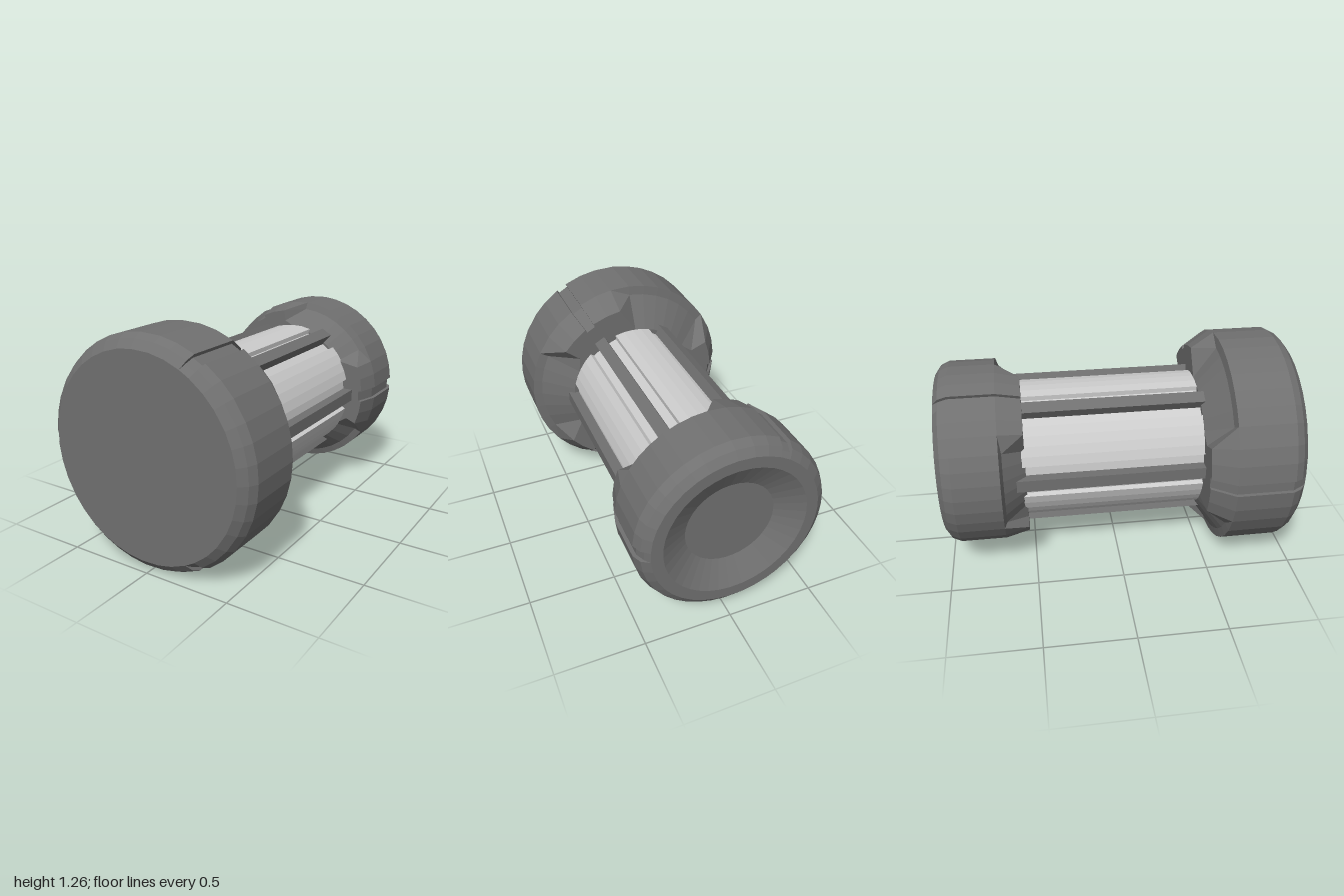
import * as THREE from 'three';

const CENTER_Y = 0.633;
const RAD = Math.PI / 180;

const darkMat = new THREE.MeshStandardMaterial({ color: 0x707070, flatShading: true });
const lightMat = new THREE.MeshStandardMaterial({ color: 0xcccccc, flatShading: true });

const lerp = THREE.MathUtils.lerp;

// Row of a cap profile: [r, z, rNotch, zNotch, grooveDepth]
const row = (r, z, groove = 0, rNotch = r, zNotch = z) => ({ r, z, groove, rNotch, zNotch });

// Ring of profiles with three notches (first at startDeg) and three narrow grooves between them
function capGeometry(rows, radius, startDeg) {
  const half = 0.035 / radius / RAD;
  const steps = [0, 9, 18, 27, 38, 47, 60 - half - 0.05, 60 - half];
  const side = steps.map((a) => ({
    a,
    notch: THREE.MathUtils.clamp((38 - a) / 11, 0, 1),
    groove: a === 60 - half ? 1 : 0,
  }));
  const mirrored = side.slice(1).reverse().map((s) => ({ ...s, a: -s.a }));
  const third = [...mirrored, ...side];
  const ring = [];
  for (let k = 0; k < 3; k++) {
    for (const s of third) ring.push({ ...s, a: (s.a + startDeg + k * 120) * RAD });
  }

  const positions = [];
  for (const p of rows) {
    for (const s of ring) {
      const r = lerp(p.r, p.rNotch, s.notch) - p.groove * s.groove;
      const z = lerp(p.z, p.zNotch, s.notch);
      positions.push(r * Math.cos(s.a), r * Math.sin(s.a), z);
    }
  }

  const n = ring.length;
  const flip = rows[0].z < 0;
  const index = [];
  const tri = (a, b, c) => (flip ? index.push(a, c, b) : index.push(a, b, c));
  for (let i = 0; i < rows.length - 1; i++) {
    for (let j = 0; j < n; j++) {
      const k = (j + 1) % n;
      const a = i * n + j, b = a + n, c = (i + 1) * n + k, d = i * n + k;
      tri(a, b, c);
      if (rows[i].r > 0) tri(a, c, d);
    }
  }
  const geo = new THREE.BufferGeometry();
  geo.setAttribute('position', new THREE.Float32BufferAttribute(positions, 3));
  geo.setIndex(index);
  const flat = geo.toNonIndexed();
  flat.computeVertexNormals();
  return flat;
}

// Core cross-section: six raised panels with recessed channels between them
function coreGeometry() {
  const shape = new THREE.Shape();
  const pts = [];
  const add = (r, deg) => pts.push(new THREE.Vector2(r * Math.cos(deg * RAD), r * Math.sin(deg * RAD)));
  for (let k = 0; k < 6; k++) {
    const mid = 30 + k * 60;
    add(0.375, mid - 30);
    add(0.375, mid - 17);
    for (const d of [-16, -8, 0, 8, 16]) add(0.4, mid + d);
    add(0.375, mid + 17);
  }
  shape.setFromPoints(pts);
  const geo = new THREE.ExtrudeGeometry(shape, { depth: 1.1, bevelEnabled: false });
  geo.translate(0, 0, -0.6);
  return geo;
}

export function createModel() {
  const model = new THREE.Group();
  model.name = 'barrel';
  const body = new THREE.Group();
  body.name = 'body';
  body.position.y = CENTER_Y;
  model.add(body);

  const add = (name, geo, mat) => {
    const mesh = new THREE.Mesh(geo, mat);
    mesh.name = name;
    body.add(mesh);
    return mesh;
  };

  // Large front cap with a flat face
  add('frontCap', capGeometry([
    row(0, 1),
    row(0.565, 1),
    row(0.608, 0.965, 0.02),
    row(0.632, 0.92, 0.02),
    row(0.632, 0.6, 0.02),
    row(0.548, 0.47, 0.02, 0.58, 0.59),
    row(0.44, 0.47, 0, 0.4, 0.47),
    row(0.35, 0.47),
  ], 0.632, 0), darkMat);

  // Smaller rear cap with a dished face
  add('rearCap', capGeometry([
    row(0, -0.92),
    row(0.25, -0.92),
    row(0.4, -1),
    row(0.465, -1),
    row(0.508, -0.97, 0.02),
    row(0.53, -0.92, 0.02),
    row(0.53, -0.665, 0.02),
    row(0.495, -0.53, 0.02, 0.49, -0.65),
    row(0.43, -0.53, 0, 0.385, -0.53),
    row(0.35, -0.53),
  ], 0.53, 60), darkMat);

  // Light core between the caps
  add('core', coreGeometry(), lightMat);

  // Six long ribs in the channels of the core
  const ribGeo = new THREE.BoxGeometry(0.09, 0.07, 1.1);
  ribGeo.translate(0.385, 0, -0.05);
  for (let k = 0; k < 6; k++) {
    add('rib' + (k + 1), ribGeo, darkMat).rotation.z = k * 60 * RAD;
  }

  return model;
}
